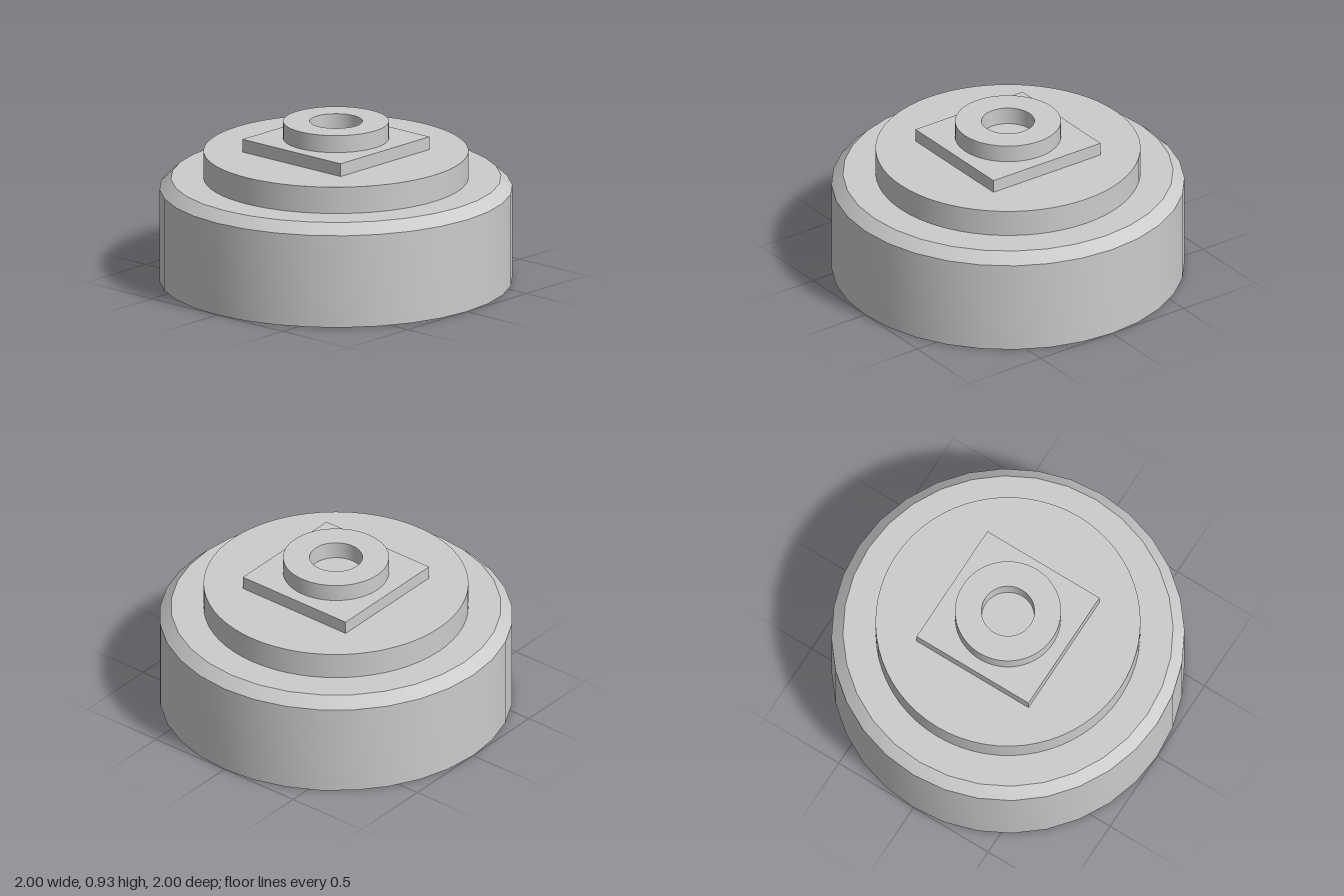
import * as THREE from 'three';
import { toCreasedNormals } from 'three/addons/utils/BufferGeometryUtils.js';

export function createModel() {
  const model = new THREE.Group();
  const material = new THREE.MeshStandardMaterial({ color: 0xcccccc });

  const add = (name, geometry) => {
    const mesh = new THREE.Mesh(geometry, material);
    mesh.name = name;
    model.add(mesh);
    return mesh;
  };

  // Turned part from [radius, height] pairs, outside edge running upwards
  const turned = (name, profile, sides) => {
    const points = profile.map(([r, y]) => new THREE.Vector2(r, y));
    return add(name, toCreasedNormals(new THREE.LatheGeometry(points, sides), 0.5));
  };

  // Round base with a chamfered rim and a bore open at the underside
  turned('base', [[0.15, 0], [1, 0], [1, 0.54], [0.935, 0.6], [0.15, 0.6], [0.15, 0]], 32);

  // Raised disc, which also closes the top of the bore
  add('disc', new THREE.CylinderGeometry(0.75, 0.75, 0.155, 64)).position.y = 0.6775;

  // Square plate
  add('squarePlate', new THREE.BoxGeometry(0.75, 0.075, 0.75)).position.y = 0.7925;

  // Collar ring around a shallow recess, with the plate as its floor
  turned('collar', [[0.15, 0.83], [0.3, 0.83], [0.3, 0.93], [0.15, 0.93], [0.15, 0.83]], 64);

  return model;
}
